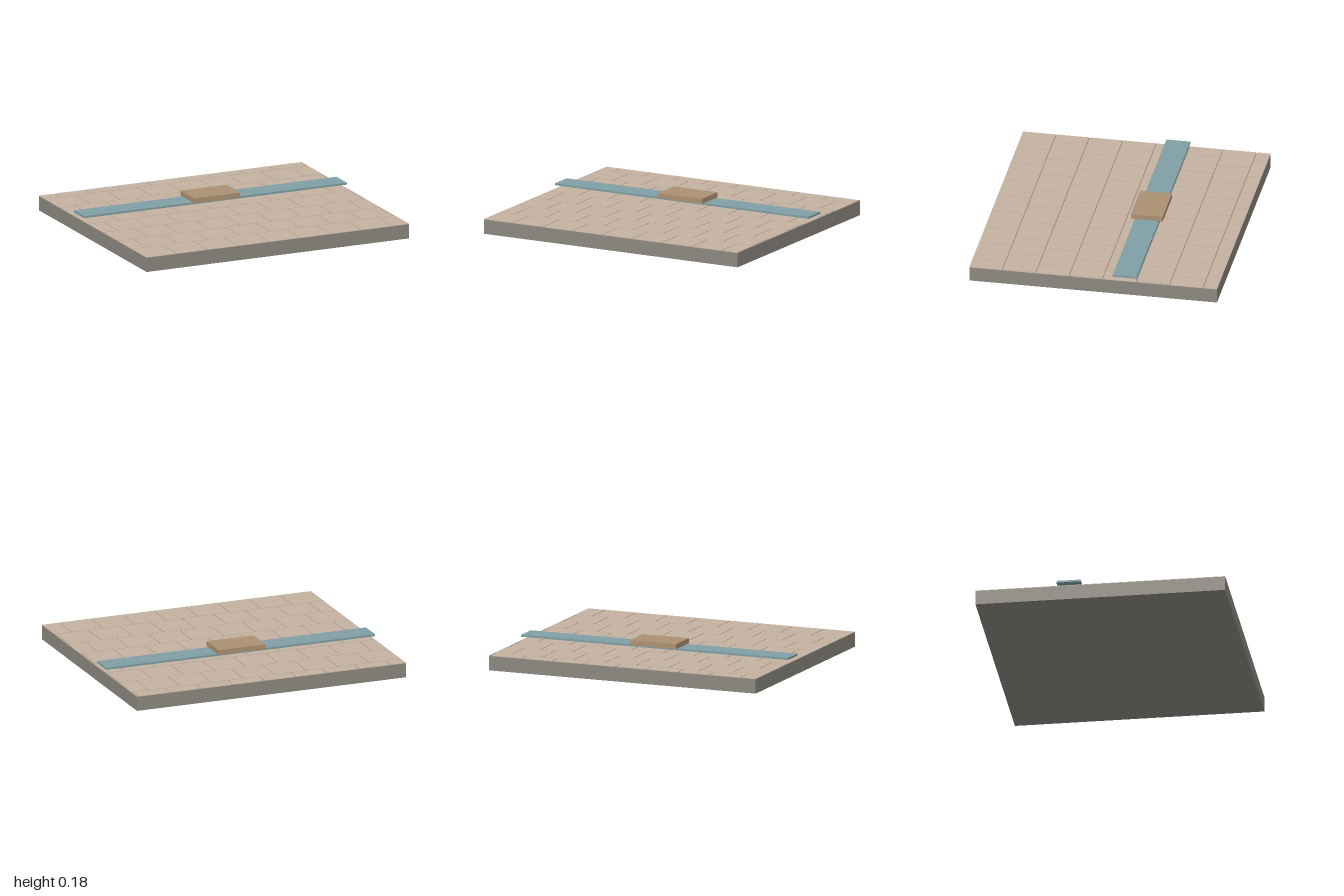
import * as THREE from 'three';

export function createModel() {
  const model = new THREE.Group();
  const stone = new THREE.MeshStandardMaterial({ name: 'grey stone', color: 0x8c8880 });
  const clay = new THREE.MeshStandardMaterial({ name: 'pale clay', color: 0xc4b2a1 });
  const teal = new THREE.MeshStandardMaterial({ name: 'dusty teal', color: 0x7f9fa4 });
  const wood = new THREE.MeshStandardMaterial({ name: 'tan wood', color: 0xac9172 });

  // Box given by its minimum and maximum on each axis
  function box(parent, name, material, [x0, x1], [y0, y1], [z0, z1]) {
    const mesh = new THREE.Mesh(new THREE.BoxGeometry(x1 - x0, y1 - y0, z1 - z0), material);
    mesh.position.set((x0 + x1) / 2, (y0 + y1) / 2, (z0 + z1) / 2);
    mesh.name = name;
    parent.add(mesh);
  }

  const halfX = 1, halfZ = 0.868;
  box(model, 'slab', stone, [-halfX, halfX], [0, 0.101], [-halfZ, halfZ]);

  // Square pavers in running bond, laid from the front left corner and cut at the edges
  const pavers = new THREE.Group();
  pavers.name = 'pavers';
  model.add(pavers);
  const pitch = 0.2343, gap = 0.006;
  for (let row = 0; row * pitch < 2 * halfZ; row++) {
    const zFront = halfZ - row * pitch;
    const zBack = Math.max(zFront - pitch + gap, -halfZ);
    const start = -halfX - (row % 2) * pitch / 2;
    for (let x = start; x < halfX; x += pitch) {
      const left = Math.max(x, -halfX);
      const right = Math.min(x + pitch - gap, halfX);
      box(pavers, 'paver', clay, [left, right], [0.101, 0.105], [zBack, zFront]);
    }
  }

  // Raised strip with a block resting on its middle
  box(model, 'strip', teal, [-halfX, halfX], [0.129, 0.143], [-0.305, -0.137]);
  box(model, 'block', wood, [-0.174, 0.174], [0.143, 0.178], [-0.332, -0.109]);

  return model;
}
